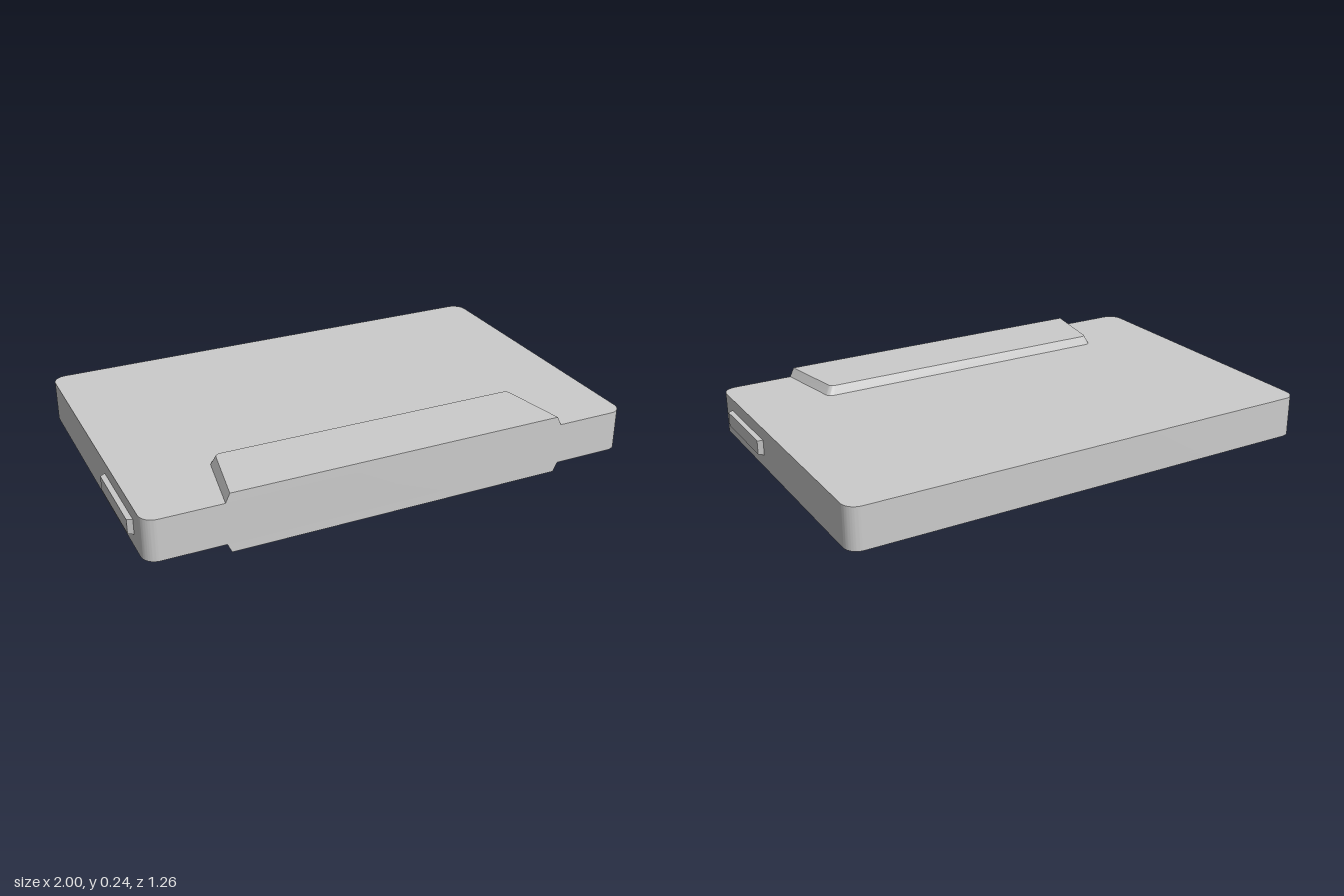
import * as THREE from 'three';
import { toCreasedNormals } from 'three/addons/utils/BufferGeometryUtils.js';

const material = new THREE.MeshStandardMaterial({ color: 0xcccccc });

// Solid between two convex counter-clockwise outlines, rising along z
function loft(lower, upper, height) {
  const pos = [];
  const n = lower.length;
  const add = (p, z) => pos.push(p.x, p.y, z);
  for (let i = 0; i < n; i++) {
    const j = (i + 1) % n;
    add(lower[i], 0); add(lower[j], 0); add(upper[j], height);
    add(lower[i], 0); add(upper[j], height); add(upper[i], height);
    if (i > 0 && j > 0) {
      add(upper[0], height); add(upper[i], height); add(upper[j], height);
      add(lower[0], 0); add(lower[j], 0); add(lower[i], 0);
    }
  }
  const g = new THREE.BufferGeometry();
  g.setAttribute('position', new THREE.Float32BufferAttribute(pos, 3));
  return toCreasedNormals(g, 0.5);
}

// Trapezoid outline: straight front edge, two rounded rear corners
function padOutline(front, rear, rearZ, r) {
  const a = new THREE.Vector2(front, -0.628), b = new THREE.Vector2(rear, -rearZ);
  const start = b.clone().add(a.clone().sub(b).setLength(r));
  const end = new THREE.Vector2(rear - r, -rearZ);
  const right = new THREE.QuadraticBezierCurve(start, b, end).getPoints(5);
  const left = right.map((p) => new THREE.Vector2(-p.x, p.y)).reverse();
  return [new THREE.Vector2(-front, -0.628), a, ...right, ...left];
}

function rect(w, h) {
  return [[-w, -h], [w, -h], [w, h], [-w, h]].map(([x, y]) => new THREE.Vector2(x / 2, y / 2));
}

function roundedRect(hx, hy, r) {
  const s = new THREE.Shape();
  s.absarc(hx - r, hy - r, r, 0, Math.PI / 2);
  s.absarc(r - hx, hy - r, r, Math.PI / 2, Math.PI);
  s.absarc(r - hx, r - hy, r, Math.PI, Math.PI * 1.5);
  s.absarc(hx - r, r - hy, r, Math.PI * 1.5, Math.PI * 2);
  s.closePath();
  return s;
}

export function createModel() {
  const model = new THREE.Group();
  const add = (name, geometry) => {
    const mesh = new THREE.Mesh(geometry, material);
    mesh.name = name;
    model.add(mesh);
    return mesh;
  };

  // Flat slab with rounded vertical corners
  const slab = new THREE.ExtrudeGeometry(roundedRect(0.98, 0.628, 0.055), {
    depth: 0.165, bevelEnabled: false, curveSegments: 10,
  });
  slab.rotateX(-Math.PI / 2);
  add('body', toCreasedNormals(slab, 0.5)).position.y = 0.036;

  // Chamfered raised pads above and below, flush with the front
  const pad = loft(padOutline(0.686, 0.636, 0.333, 0.025), padOutline(0.669, 0.619, 0.347, 0.02), 0.036);
  pad.rotateX(-Math.PI / 2);
  add('topPad', pad).position.y = 0.201;
  const bottomPad = add('bottomPad', pad);
  bottomPad.position.y = 0.036;
  bottomPad.rotation.z = Math.PI;

  // Low side latches with sloping ends
  const latch = loft(rect(0.352, 0.06), rect(0.33, 0.056), 0.02);
  for (const side of [1, -1]) {
    const mesh = add(side > 0 ? 'leftLatch' : 'rightLatch', latch);
    mesh.position.set(side * 0.98, 0.12, 0.336);
    mesh.rotation.y = side * Math.PI / 2;
  }
  return model;
}
